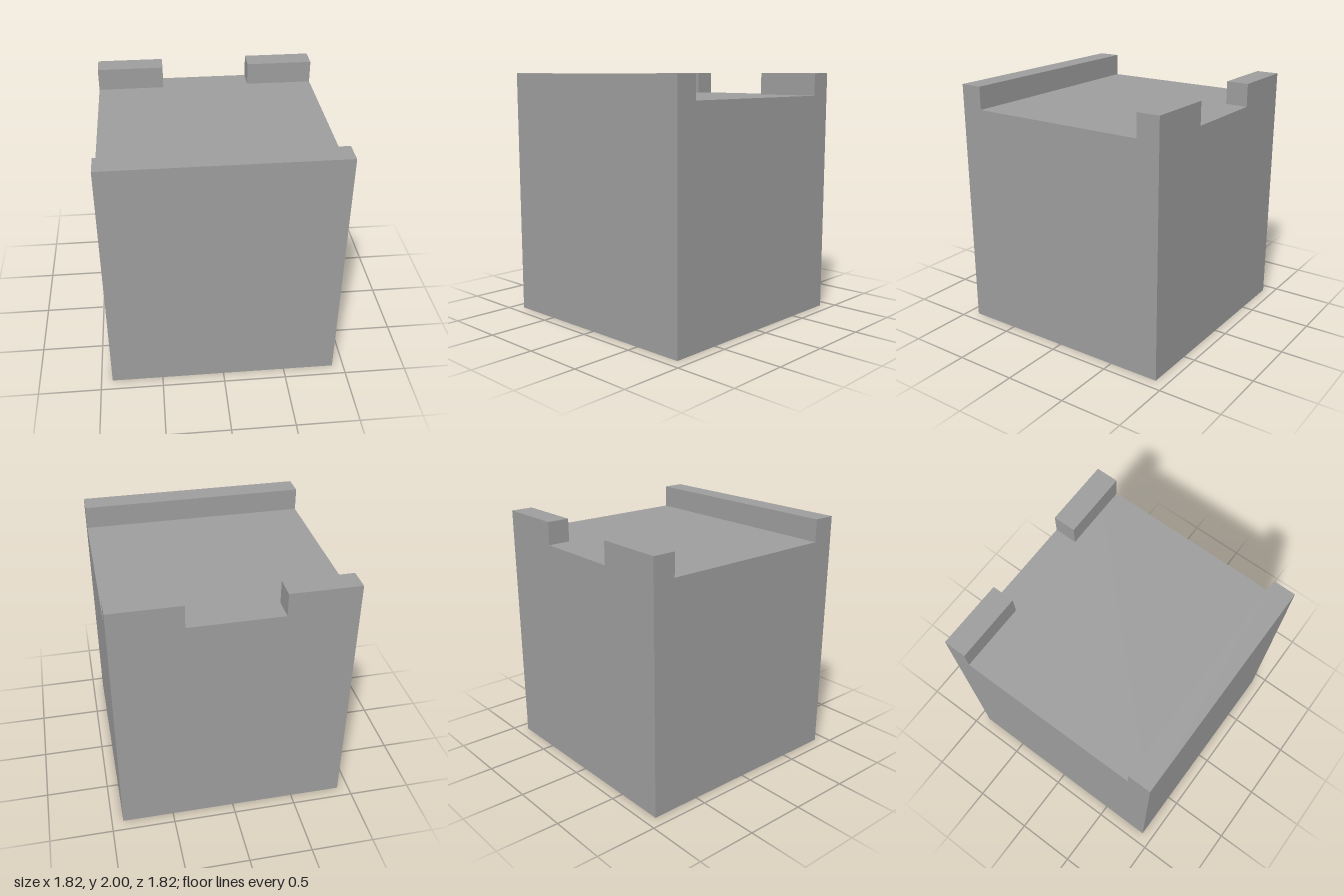
import * as THREE from 'three';

const SIDE = 20 / 11;      // width and depth of the block
const WALL = 2 / 11;       // height and thickness of the parapets
const GAP = 8 / 11;        // opening in the back parapet

export function createModel() {
  const model = new THREE.Group();
  model.name = 'crenellatedBlock';
  const material = new THREE.MeshStandardMaterial({ color: 0x9d9d9d, flatShading: true });

  // Adds a box standing on height y
  const addBox = (name, w, h, d, x, y, z) => {
    const mesh = new THREE.Mesh(new THREE.BoxGeometry(w, h, d), material);
    mesh.name = name;
    mesh.position.set(x, y + h / 2, z);
    model.add(mesh);
  };

  // Main block
  addBox('body', SIDE, SIDE, SIDE, 0, 0, 0);

  // Full-width parapet along the front edge
  const edge = (SIDE - WALL) / 2;
  addBox('frontParapet', SIDE, WALL, WALL, 0, SIDE, edge);

  // Two short parapets at the back corners, with a gap between
  const length = (SIDE - GAP) / 2;
  for (const [name, s] of [['backParapetLeft', 1], ['backParapetRight', -1]]) {
    addBox(name, length, WALL, WALL, s * (GAP + length) / 2, SIDE, -edge);
  }
  return model;
}
